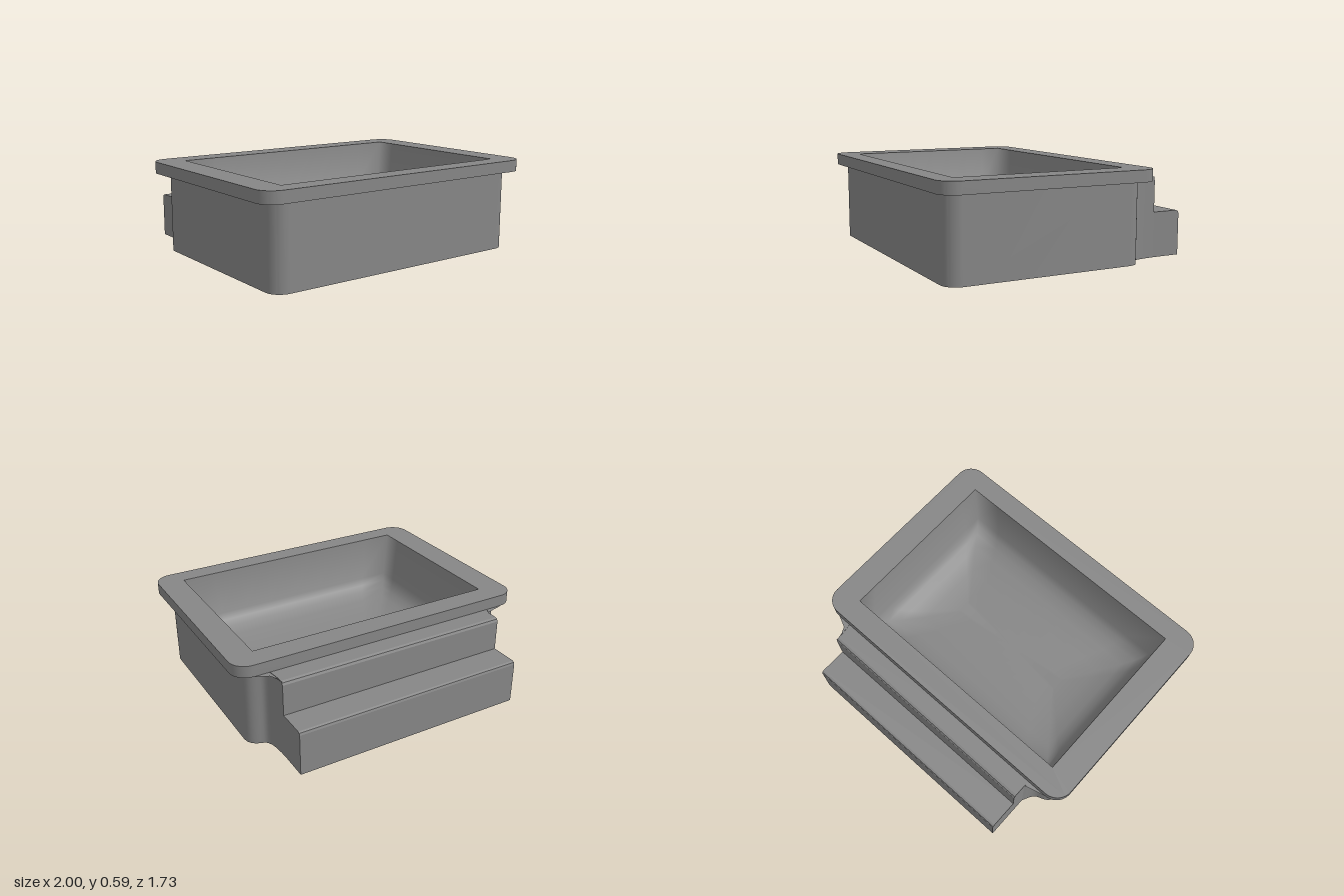
import * as THREE from 'three';
import { toCreasedNormals } from 'three/addons/utils/BufferGeometryUtils.js';

const material = new THREE.MeshStandardMaterial({ color: 0x868686, side: THREE.DoubleSide });

// Skin a surface over rows of [x, y, z] points that all have the same length
function loft(rows, crease) {
  const n = rows[0].length;
  const index = [];
  for (let r = 0; r < rows.length - 1; r++) {
    for (let i = 0; i < n - 1; i++) {
      const a = r * n + i, b = a + 1, c = a + n, d = c + 1;
      index.push(a, b, d, a, d, c);
    }
  }
  const geometry = new THREE.BufferGeometry();
  geometry.setAttribute('position', new THREE.Float32BufferAttribute(rows.flat(2), 3));
  geometry.setIndex(index);
  return toCreasedNormals(geometry, crease);
}

function add(parent, name, geometry) {
  const mesh = new THREE.Mesh(geometry, material);
  mesh.name = name;
  parent.add(mesh);
  return mesh;
}

// Rounded rectangle in plan; shape y is -z
function roundedRect(x0, x1, z0, z1, r) {
  const s = new THREE.Shape();
  s.absarc(x1 - r, -z0 - r, r, 0, Math.PI / 2);
  s.absarc(x0 + r, -z0 - r, r, Math.PI / 2, Math.PI);
  s.absarc(x0 + r, -z1 + r, r, Math.PI, Math.PI * 1.5);
  s.absarc(x1 - r, -z1 + r, r, Math.PI * 1.5, Math.PI * 2);
  s.closePath();
  return s;
}

// Closed rectangle loop for the basin, split along each side
function basinRing(halfX, halfZ, y) {
  const corners = [[-1, -1], [-1, 1], [1, 1], [1, -1]];
  const points = [];
  for (let i = 0; i <= 32; i++) {
    const a = corners[Math.floor(i / 8) % 4], b = corners[(Math.floor(i / 8) + 1) % 4];
    const t = (i % 8) / 8;
    points.push([
      0.005 + halfX * (a[0] + (b[0] - a[0]) * t), y,
      0.17 + halfZ * (a[1] + (b[1] - a[1]) * t),
    ]);
  }
  return points;
}

export function createModel() {
  const model = new THREE.Group();
  model.name = 'tubWithSteps';

  // Overhanging rim with a rectangular opening
  const rimShape = roundedRect(-1, 1, -0.54, 0.863, 0.11);
  const hole = new THREE.Path();
  hole.moveTo(-0.82, 0.39).lineTo(-0.82, -0.73).lineTo(0.83, -0.73).lineTo(0.83, 0.39).closePath();
  rimShape.holes.push(hole);
  const rim = new THREE.ExtrudeGeometry(rimShape, { depth: 0.075, bevelEnabled: false, curveSegments: 10 });
  rim.rotateX(-Math.PI / 2).translate(0, 0.515, 0);
  add(model, 'rim', toCreasedNormals(rim, 0.6));

  // Basin: tapered walls, then a dished floor falling to a narrow flat strip
  const floor = [[0, 0.29], [0.06, 0.245], [0.15, 0.21], [0.3, 0.18], [0.6, 0.15], [1, 0.13]];
  add(model, 'basin', loft([
    basinRing(0.825, 0.56, 0.59),
    ...floor.map(([t, y]) => basinRing(0.78 - 0.35 * t, 0.53 - 0.485 * t, y)),
    basinRing(0, 0, 0.13),
  ], Math.PI));

  // Side and front skirt, rounded at the back and curving in to meet the steps
  const skirt = new THREE.Path();
  skirt.moveTo(0.78, -0.67);
  skirt.bezierCurveTo(0.785, -0.57, 0.79, -0.5, 0.83, -0.485);
  skirt.bezierCurveTo(0.88, -0.47, 0.918, -0.45, 0.918, -0.38);
  skirt.lineTo(0.918, 0.71);
  skirt.absarc(0.818, 0.71, 0.1, 0, Math.PI / 2);
  skirt.lineTo(-0.818, 0.81);
  skirt.absarc(-0.818, 0.71, 0.1, Math.PI / 2, Math.PI);
  skirt.lineTo(-0.918, -0.38);
  skirt.bezierCurveTo(-0.918, -0.45, -0.88, -0.47, -0.83, -0.485);
  skirt.bezierCurveTo(-0.79, -0.5, -0.78, -0.54, -0.76, -0.575);
  const plan = skirt.getPoints(8);
  add(model, 'skirt', loft([0.515, 0].map((y) => plan.map((p) => [p.x, y, p.y])), 0.6));

  // Two steps: profile swept across the width, open underneath
  const steps = new THREE.Group();
  steps.name = 'steps';
  model.add(steps);
  const profile = [[-0.45, 0.512], [-0.65, 0.512], [-0.665, 0.505], [-0.672, 0.49], [-0.672, 0.29],
    [-0.85, 0.29], [-0.863, 0.284], [-0.868, 0.27], [-0.868, 0]];
  add(steps, 'treads', loft([-0.76, 0.78].map((x) => profile.map(([z, y]) => [x, y, z])), 0.3));

  // Step end panels
  for (const [name, x, z0] of [['stepEndRight', -0.76, -0.57], ['stepEndLeft', 0.78, -0.64]]) {
    const outline = [[z0, 0], [z0, 0.512], ...profile.slice(1)];
    const end = new THREE.ShapeGeometry(new THREE.Shape(outline.map(([z, y]) => new THREE.Vector2(-z, y))));
    end.rotateY(Math.PI / 2);
    add(steps, name, end).position.x = x;
  }

  // Small shelves spreading from the top step to the corners under the rim
  const shelves = {
    cornerShelfLeft: [[0.78, -0.45], [0.91, -0.45], [0.885, -0.54], [0.81, -0.575], [0.787, -0.62], [0.78, -0.67]],
    cornerShelfRight: [[-0.76, -0.45], [-0.91, -0.45], [-0.89, -0.54], [-0.76, -0.575]],
  };
  for (const [name, points] of Object.entries(shelves)) {
    const shelf = new THREE.ShapeGeometry(new THREE.Shape(points.map(([x, z]) => new THREE.Vector2(x, -z))));
    shelf.rotateX(-Math.PI / 2);
    add(model, name, shelf).position.y = 0.512;
  }

  return model;
}
